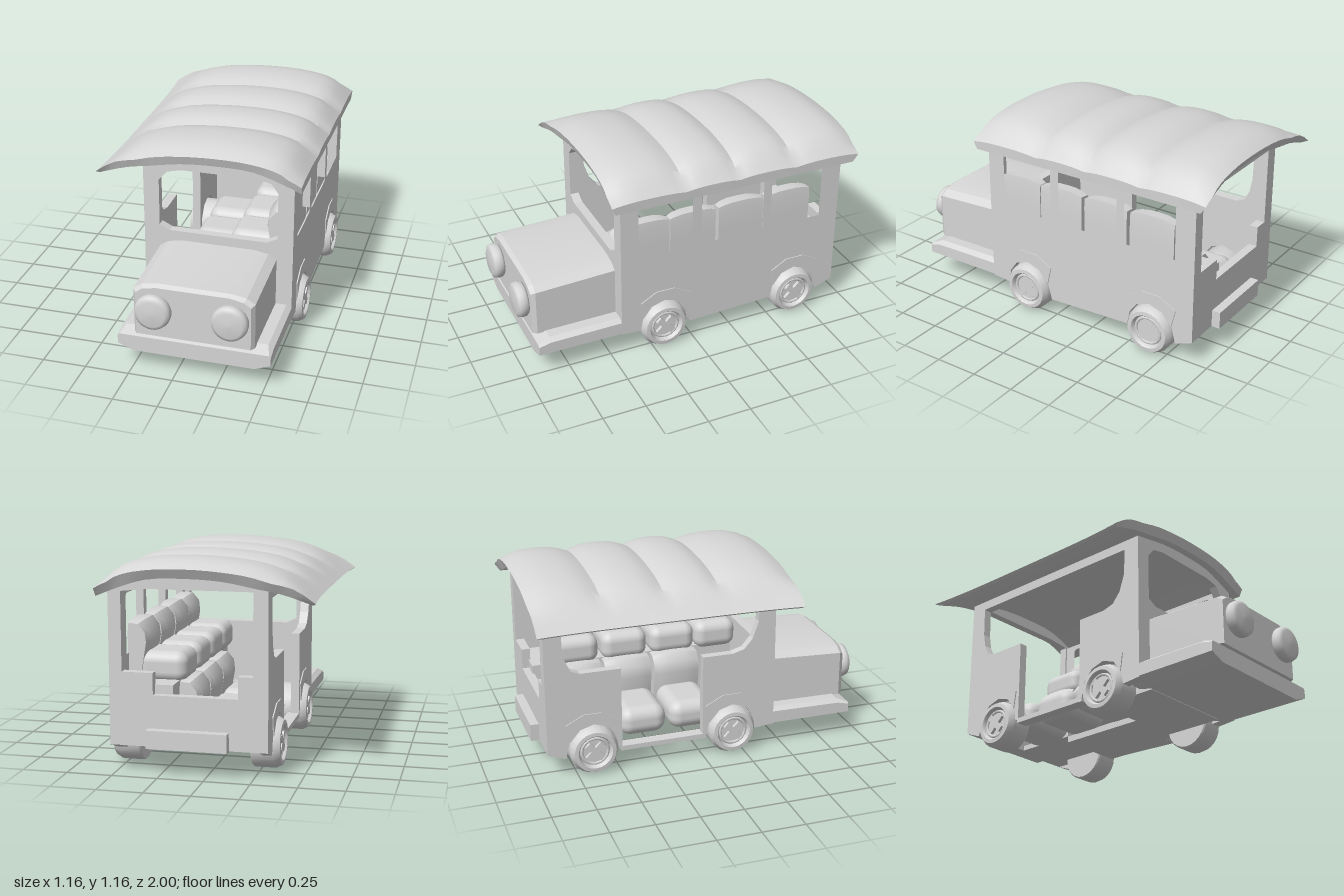
import * as THREE from 'three';
import { toCreasedNormals } from 'three/addons/utils/BufferGeometryUtils.js';
import { RoundedBoxGeometry } from 'three/addons/geometries/RoundedBoxGeometry.js';

const grey = new THREE.MeshStandardMaterial({ color: 0xd6d6d6 });
grey.name = 'plain grey';
const MID = 0.1; // centre line of the body in x

function add(parent, name, geometry, x = 0, y = 0, z = 0) {
  const mesh = new THREE.Mesh(geometry, grey);
  mesh.name = name;
  mesh.position.set(x, y, z);
  parent.add(mesh);
  return mesh;
}

// box given by its limits
function block(parent, name, x0, x1, y0, y1, z0, z1, radius = 0) {
  const s = [x1 - x0, y1 - y0, z1 - z0];
  const g = radius ? new RoundedBoxGeometry(...s, 4, radius) : new THREE.BoxGeometry(...s);
  return add(parent, name, g, (x0 + x1) / 2, (y0 + y1) / 2, (z0 + z1) / 2);
}

function extrude(points, holes, depth) {
  const toVec = (list) => list.map(([a, b]) => new THREE.Vector2(a, b));
  const shape = new THREE.Shape(toVec(points));
  holes.forEach((h) => shape.holes.push(new THREE.Path(toVec(h))));
  return new THREE.ExtrudeGeometry(shape, { depth, bevelEnabled: false });
}

// plate drawn in (z, y), between two x positions
function sidePlate(parent, name, points, holes, x0, x1) {
  const flip = (list) => list.map(([z, y]) => [-z, y]);
  const g = extrude(flip(points), holes.map(flip), x1 - x0).rotateY(Math.PI / 2);
  return add(parent, name, g, x0);
}

// closed skin over rings that run anticlockwise and follow each other towards +z
function loft(rings, crease) {
  const n = rings[0].length;
  const index = [];
  const quad = (a, b, c, d) => index.push(a, b, c, a, c, d);
  for (let j = 0; j < rings.length - 1; j++) {
    for (let i = 0; i < n; i++) {
      const k = (i + 1) % n;
      quad(j * n + i, j * n + k, (j + 1) * n + k, (j + 1) * n + i);
    }
  }
  const last = (rings.length - 1) * n;
  for (let i = 0; i < n / 2 - 1; i++) {
    quad(last + i, last + i + 1, last + n - 2 - i, last + n - 1 - i);
    quad(n - 1 - i, n - 2 - i, i + 1, i);
  }
  const g = new THREE.BufferGeometry();
  g.setAttribute('position', new THREE.Float32BufferAttribute(rings.flat(2), 3));
  g.setIndex(index);
  return toCreasedNormals(g, crease);
}

// ring mirrored about the centre line from [half width, y] pairs, bottom to top
function mirroredRing(half, z) {
  const right = half.map(([w, y]) => [MID + w, y, z]);
  const left = half.map(([w, y]) => [MID - w, y, z]).reverse();
  return [...right, ...left];
}

// wheel arch cut, running from rear to front
const arch = (z) => [[z - 0.165, 0.11], [z - 0.14, 0.21], [z - 0.08, 0.28], [z, 0.305],
  [z + 0.08, 0.28], [z + 0.13, 0.21], [z + 0.145, 0.13]];
const FRONT_AXLE = 0.18, REAR_AXLE = -0.65;

function addRoof(group) {
  const { smoothstep, clamp } = THREE.MathUtils;
  const curve = (list) => new THREE.CatmullRomCurve3(list.map(([x, y]) => new THREE.Vector3(x, y, 0))).getPoints(21);
  const top = curve([[-0.585, 0.957], [-0.41, 1.075], [-0.27, 1.125], [-0.1, 1.15], [0.1, 1.16],
    [0.31, 1.15], [0.47, 1.11], [0.58, 1.015]]);
  const under = curve([[-0.568, 0.945], [-0.41, 0.995], [-0.27, 1.02], [-0.1, 1.05], [0.1, 1.06],
    [0.31, 1.05], [0.47, 1.0], [0.578, 0.957]]);
  // four padded bays that flatten out towards the awning edge
  const seams = [-1, -0.6, -0.25, 0.07, 0.505];
  const rings = [];
  for (let s = 0; s < 4; s++) {
    for (let k = s ? 1 : 0; k <= 8; k++) {
      const t = k / 8, z = seams[s] + (seams[s + 1] - seams[s]) * t;
      const outer = (s === 0 && t < 0.5) || (s === 3 && t > 0.5);
      const drop = (outer ? 0.048 : 0.036) * Math.abs(2 * t - 1) ** 2.6;
      const fade = (x) => smoothstep(x, -0.53, -0.33) * (1 - 0.7 * smoothstep(x, 0.5, 0.58));
      const tuck = 0.02 * (1 - Math.min(1, Math.abs(z + 0.25) / 0.75) ** 4); // awning edge draws in
      const place = (p, y, zz) => [p.x + tuck * (1 - smoothstep(p.x, -0.6, -0.3)), y, zz];
      const lower = under.map((p) => place(p, p.y, clamp(z, -0.97, 0.485)));
      const upper = top.map((p) => place(p, p.y - drop * fade(p.x), z));
      rings.push([...lower, ...upper.reverse()]);
    }
  }
  add(group, 'padded roof', loft(rings, 0.7));
}

function addBody(group) {
  // front and rear frames
  const frame = [[-0.33, 0.15], [0.53, 0.15], [0.53, 0.98], [0.46, 1.01], [0.31, 1.055],
    [0.1, 1.065], [-0.1, 1.055], [-0.27, 1.025], [-0.33, 1.01]];
  const windscreen = [[-0.18, 0.615], [0.38, 0.615], [0.44, 0.645], [0.44, 0.92], [0.4, 0.975],
    [0.31, 0.993], [-0.11, 0.993], [-0.19, 0.975], [-0.24, 0.92], [-0.24, 0.645]];
  add(group, 'front wall', extrude(frame, [windscreen], 0.05), 0, 0, 0.39);
  const tailgate = [[-0.25, 0.55], [-0.17, 0.55], [-0.17, 0.43], [0.29, 0.43], [0.29, 0.55],
    [0.46, 0.55], [0.46, 0.98], [0.31, 0.995], [-0.25, 0.995]];
  add(group, 'rear wall', extrude(frame, [tailgate], 0.05), 0, 0, -0.92);

  // closed side with three windows
  const win = (a, b) => [[a, 0.62], [b, 0.62], [b, 0.935], [b - 0.015, 0.95], [a + 0.015, 0.95], [a, 0.935]];
  sidePlate(group, 'left side wall',
    [[-0.92, 0.98], [-0.92, 0.15], ...arch(REAR_AXLE), ...arch(FRONT_AXLE), [0.44, 0.14], [0.44, 0.98]],
    [win(0.01, 0.335), win(-0.43, -0.045), win(-0.8, -0.48)], 0.47, 0.53);

  // open side with a wide doorway
  sidePlate(group, 'right front panel', [...arch(FRONT_AXLE), [0.44, 0.14], [0.44, 1.01], [0.34, 1.01],
    [0.335, 0.8], [0.3, 0.7], [0.25, 0.64], [0.18, 0.62], [0, 0.62], [0, 0.11]], [], -0.33, -0.28);
  sidePlate(group, 'right rear panel', [[-0.92, 0.15], ...arch(REAR_AXLE), [-0.485, 0.13], [-0.485, 0.62],
    [-0.72, 0.62], [-0.77, 0.64], [-0.8, 0.7], [-0.815, 0.78], [-0.82, 1.01], [-0.92, 1.01]], [], -0.33, -0.28);
  block(group, 'right roof rail', -0.33, -0.28, 0.955, 1.01, -0.92, 0.44);

  // floor, left open below the lower seats
  block(group, 'door sill', -0.33, -0.26, 0.112, 0.14, -0.49, 0.02);
  block(group, 'floor', 0.1, 0.5, 0.112, 0.15, -0.49, 0.05);
  block(group, 'rear floor', 0.1, 0.4, 0.15, 0.18, -0.9, -0.49);
  block(group, 'front floor', -0.2, 0.4, 0.112, 0.15, 0.05, 0.42);
  block(group, 'rear step', -0.12, 0.32, 0.15, 0.25, -0.97, -0.9);
}

function addNose(group) {
  const hood = (rise) => [[0.3375, 0.225], [0.3375, 0.49 + rise], [0.29, 0.52 + rise], [0.21, 0.535 + rise]];
  add(group, 'hood', loft([mirroredRing(hood(0.025), 0.42), mirroredRing(hood(0.003), 0.905),
    mirroredRing([[0.32, 0.225], [0.32, 0.48], [0.28, 0.508], [0.205, 0.523]], 0.93)], 0.3));
  const apron = (low, y) => [[0.34, low], [0.43, low + 0.035], [0.43, y - 0.02], [0.4, y]];
  add(group, 'front apron', loft([mirroredRing(apron(0.14, 0.24), 0.33), mirroredRing(apron(0.11, 0.237), 0.44),
    mirroredRing(apron(0.11, 0.232), 0.86),
    mirroredRing([[0.34, 0.11], [0.43, 0.145], [0.43, 0.195], [0.42, 0.205]], 0.93)], 0.3));
  const lamp = [[0, 0], [0.09, 0], [0.1, 0.012], [0.102, 0.035], [0.096, 0.055], [0.075, 0.066], [0, 0.07]]
    .map(([r, h]) => new THREE.Vector2(r, h));
  for (const x of [-0.113, 0.313]) {
    add(group, 'headlight', new THREE.LatheGeometry(lamp, 32).rotateX(Math.PI / 2), x, 0.393, 0.93);
  }
}

// back rest with a curved front and a gently arched top
function seatBack(a, b) {
  const profile = [[0.475, 0.5], [0.475, 0.64], [0.475, 0.75], [0.47, 0.8],
    [0.4, 0.795], [0.362, 0.75], [0.355, 0.68], [0.385, 0.5]];
  const rings = [0, 0.12, 0.3, 0.5, 0.7, 0.88, 1].map((t) => {
    const pull = Math.abs(2 * t - 1) ** 3;
    return profile.map(([x, y]) => [x < 0.45 ? x + 0.018 * pull : x, y > 0.7 ? y - 0.016 * pull : y, a + (b - a) * t]);
  });
  return loft(rings, 0.7);
}

function addSeats(group) {
  // two tiers facing the open side, the upper one on a platform
  block(group, 'seat platform', 0.19, 0.48, 0.15, 0.48, -0.88, 0.36);
  [0.265, -0.02, -0.32, -0.62].forEach((z, i) => {
    const a = z - 0.14, b = Math.min(z + 0.14, 0.385);
    block(group, 'upper seat cushion', 0.15, 0.43, 0.46, 0.63, a, b, 0.06);
    add(group, 'upper seat back', seatBack(a, b));
    if (i === 0) return;
    block(group, 'lower seat cushion', -0.23, 0.12, 0.13, 0.3, a, b, 0.07);
    add(group, 'lower seat back', seatBack(a, b), -0.285, -0.31);
  });
}

function addWheels(group) {
  const tyre = toCreasedNormals(new THREE.LatheGeometry([[0, 0], [0.133, 0], [0.14, 0.01], [0.14, 0.125],
    [0.122, 0.158], [0.1, 0.16], [0.093, 0.152], [0.088, 0.135], [0, 0.135]]
    .map(([r, h]) => new THREE.Vector2(r, h)), 24), 0.5);
  for (const side of [1, -1]) {
    for (const z of [FRONT_AXLE, REAR_AXLE]) {
      const wheel = new THREE.Group();
      wheel.name = 'wheel';
      add(wheel, 'tyre', tyre);
      add(wheel, 'rim', new THREE.TorusGeometry(0.078, 0.009, 6, 16).rotateX(Math.PI / 2), 0, 0.138, 0);
      for (const turn of [1, -1]) {
        add(wheel, 'spoke', new THREE.BoxGeometry(0.125, 0.025, 0.036), 0, 0.141, 0).rotation.y = turn * Math.PI / 4;
      }
      wheel.rotation.z = -side * Math.PI / 2;
      wheel.position.set(MID + side * 0.305, 0.142, z);
      group.add(wheel);

      // raised flare around the arch
      const cut = arch(z).slice(1, 6).reverse();
      const flare = [[z - 0.165, 0.315], [z - 0.06, 0.37], [z + 0.05, 0.37], [z + 0.145, 0.315], ...cut];
      const x = side > 0 ? 0.53 : -0.336;
      sidePlate(group, 'wheel arch flare', flare, [], x, x + 0.006);
    }
  }
}

export function createModel() {
  const group = new THREE.Group();
  group.name = 'open sided bus';
  addRoof(group);
  addBody(group);
  addNose(group);
  addSeats(group);
  addWheels(group);
  return group;
}
